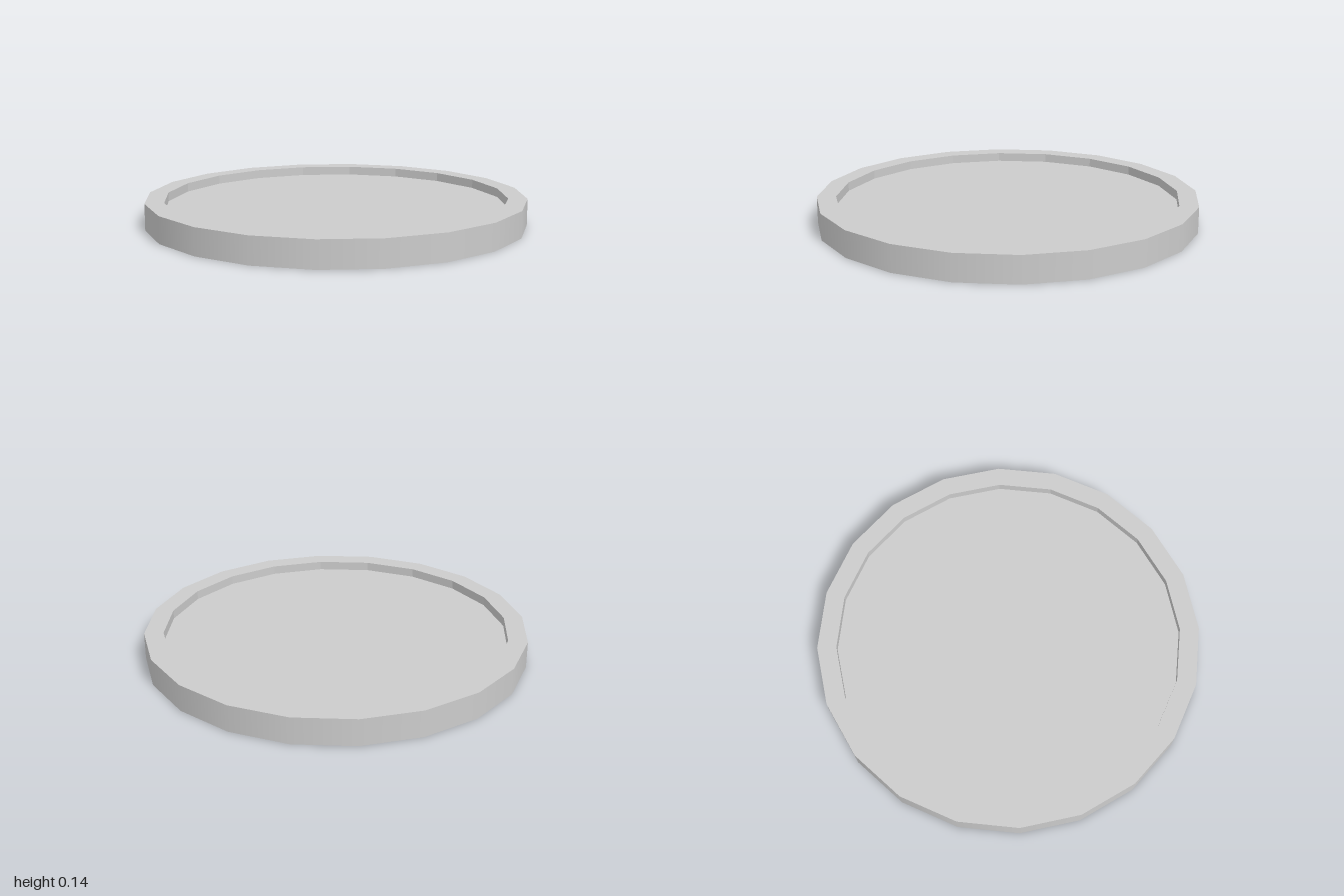
import * as THREE from 'three';

const SIDES = 20, OUTER = 1, INNER = 0.9, HEIGHT = 0.14;
const PLATE_BOTTOM = 0.047, PLATE_TOP = 0.093;

export function createModel() {
  const model = new THREE.Group();
  const smooth = new THREE.MeshStandardMaterial({ color: 0xcccccc });
  const flat = new THREE.MeshStandardMaterial({ color: 0xcccccc, flatShading: true });

  const add = (name, geometry, material) => {
    const mesh = new THREE.Mesh(geometry, material);
    mesh.name = name;
    model.add(mesh);
    return mesh;
  };

  // Horizontal face at height y, facing up or down
  const addLevel = (name, geometry, y, up) => {
    const mesh = add(name, geometry, flat);
    mesh.rotation.x = up ? -Math.PI / 2 : Math.PI / 2;
    mesh.position.y = y;
  };

  // Wall of revolution: rising profiles face outward, falling ones inward
  const wall = (radius, yStart, yEnd) => new THREE.LatheGeometry(
    [new THREE.Vector2(radius, yStart), new THREE.Vector2(radius, yEnd)], SIDES);

  // Raised rim: outer wall, flat edges, and the inner walls of both recesses
  add('rimOuterWall', wall(OUTER, 0, HEIGHT), smooth);
  add('upperInnerWall', wall(INNER, HEIGHT, PLATE_TOP), flat);
  add('lowerInnerWall', wall(INNER, PLATE_BOTTOM, 0), flat);
  const rimFace = new THREE.RingGeometry(INNER, OUTER, SIDES);
  addLevel('rimTop', rimFace, HEIGHT, true);
  addLevel('rimBottom', rimFace, 0, false);

  // Recessed plate closing the ring
  const plateFace = new THREE.CircleGeometry(INNER, SIDES);
  addLevel('plateTop', plateFace, PLATE_TOP, true);
  addLevel('plateBottom', plateFace, PLATE_BOTTOM, false);

  return model;
}
